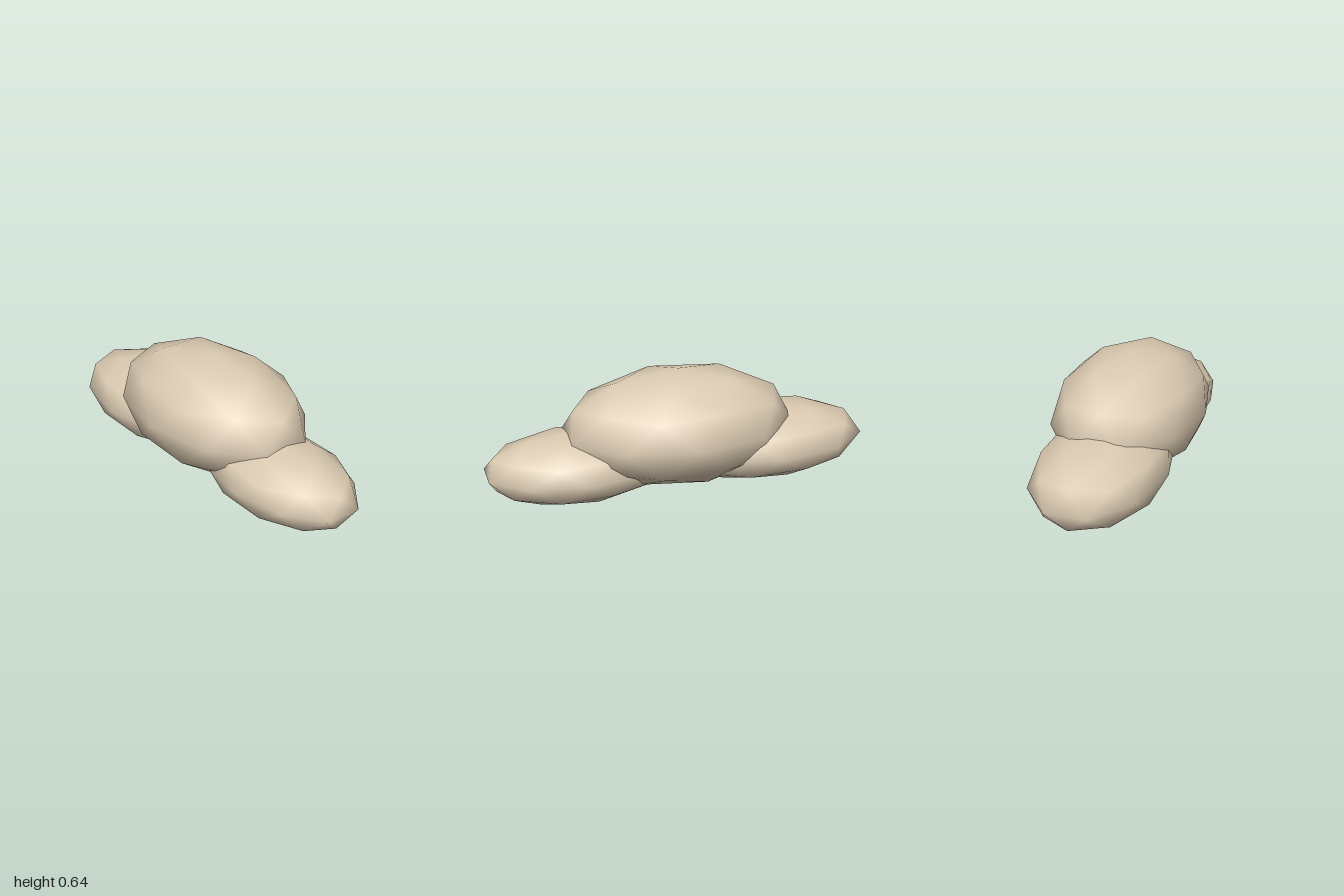
import * as THREE from 'three';

// Smooth 42-point icosphere standing on one corner, stretched to an ellipsoid
function puffGeometry(rx, ry, rz) {
  const geometry = new THREE.IcosahedronGeometry(1, 1);
  const golden = (1 + Math.sqrt(5)) / 2;
  geometry.rotateZ(-Math.atan(1 / golden)); // corner up, next corner towards +x
  geometry.scale(rx, ry, rz);
  return geometry;
}

export function createModel() {
  const group = new THREE.Group();
  group.name = 'cloud';

  const sand = new THREE.MeshStandardMaterial({ color: 0xdccbb2 });
  sand.name = 'sand';

  // Three overlapping puffs: name, centre, radii
  const puffs = [
    ['middlePuff', [0, 0.34, 0], [0.618, 0.305, 0.389]],
    ['rightPuff', [-0.465, 0.207, 0], [0.563, 0.195, 0.327]],
    ['leftPuff', [0.54, 0.183, 0], [0.484, 0.183, 0.287]],
  ];
  for (const [name, centre, radii] of puffs) {
    const mesh = new THREE.Mesh(puffGeometry(...radii), sand);
    mesh.name = name;
    mesh.position.set(...centre);
    group.add(mesh);
  }
  return group;
}
